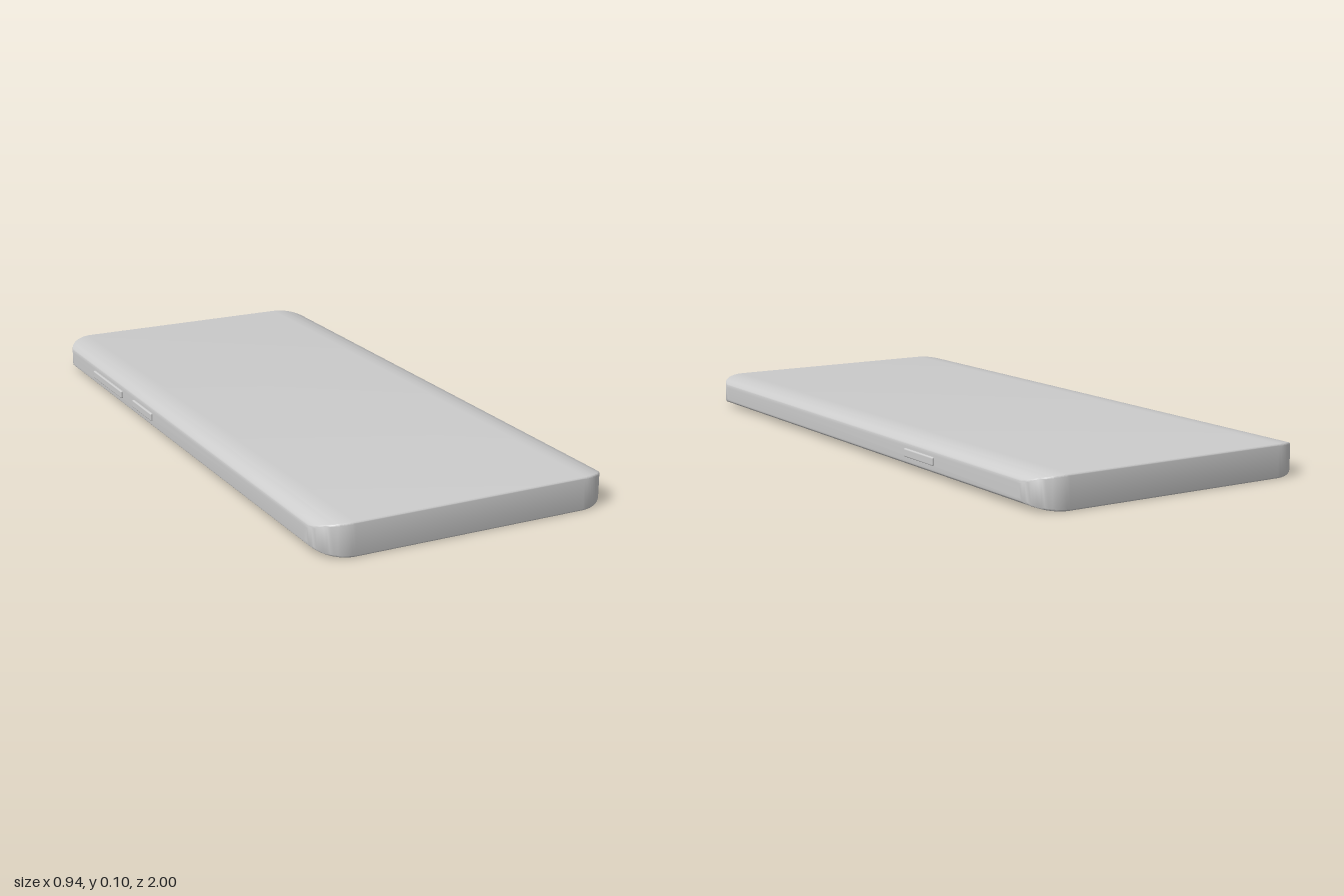
import * as THREE from 'three';
import { toCreasedNormals } from 'three/addons/utils/BufferGeometryUtils.js';
import { RoundedBoxGeometry } from 'three/addons/geometries/RoundedBoxGeometry.js';

const material = new THREE.MeshStandardMaterial({ color: 0xcccccc });
const MID_Y = 0.05;     // middle of the thickness
const HALF_W = 0.464;   // half width
const CORNER = 0.1;     // corner radius seen from above
const EDGE = 0.005;     // small rounding where the end walls meet the faces

// Slab lofted along x: each ring is a z-y rectangle with rounded corners
function slabGeometry() {
  const STEPS = 16, ARC = 3, half = [];
  for (let i = 0; i <= STEPS; i++) {
    const a = (i / STEPS) * Math.PI / 2;
    half.push({
      x: HALF_W - CORNER + CORNER * Math.sin(a),
      length: 1 - CORNER + CORNER * Math.cos(a),
      height: 0.022 + 0.028 * Math.cos(a),
    });
  }
  const rings = [...half].reverse().map(s => ({ ...s, x: -s.x })).concat(half);
  const n = 4 * (ARC + 1);
  const positions = [], index = [];

  for (const { x, length, height } of rings) {
    for (let q = 0; q < 4; q++) {
      const sz = q === 0 || q === 3 ? 1 : -1;
      const sy = q < 2 ? 1 : -1;
      for (let k = 0; k <= ARC; k++) {
        const a = (q + k / ARC) * Math.PI / 2;
        positions.push(
          x,
          MID_Y + sy * (height - EDGE) + EDGE * Math.sin(a),
          sz * (length - EDGE) + EDGE * Math.cos(a));
      }
    }
  }
  // skin between neighbouring rings
  for (let i = 0; i < rings.length - 1; i++) {
    for (let j = 0; j < n; j++) {
      const a = i * n + j, b = i * n + (j + 1) % n;
      index.push(a, a + n, b, b, a + n, b + n);
    }
  }
  // flat side strips closing both ends
  const last = (rings.length - 1) * n;
  for (let j = 1; j < n - 1; j++) {
    index.push(0, j, j + 1, last, last + j + 1, last + j);
  }

  const geometry = new THREE.BufferGeometry();
  geometry.setAttribute('position', new THREE.Float32BufferAttribute(positions, 3));
  geometry.setIndex(index);
  // ring order runs z to y, so turn the faces outward
  for (let i = 0; i < index.length; i += 3) {
    [index[i + 1], index[i + 2]] = [index[i + 2], index[i + 1]];
  }
  geometry.setIndex(orientOutward(positions, index));
  return toCreasedNormals(geometry, 0.6);
}

// Flip any triangle of the convex slab that faces its centre
function orientOutward(p, index) {
  const centre = new THREE.Vector3(0, MID_Y, 0);
  const corner = i => new THREE.Vector3().fromArray(p, i * 3);
  const out = [];
  for (let i = 0; i < index.length; i += 3) {
    const [a, b, c] = index.slice(i, i + 3);
    const t = new THREE.Triangle(corner(a), corner(b), corner(c));
    const normal = t.getNormal(new THREE.Vector3());
    const outward = t.getMidpoint(new THREE.Vector3()).sub(centre);
    out.push(...(normal.dot(outward) >= 0 ? [a, b, c] : [a, c, b]));
  }
  return out;
}

export function createModel() {
  const group = new THREE.Group();
  const add = (name, geometry) => {
    const mesh = new THREE.Mesh(geometry, material);
    mesh.name = name;
    group.add(mesh);
    return mesh;
  };

  add('body', slabGeometry());

  // side keys: side of the body, and where each starts and ends along z
  const keys = [
    ['powerButton', 1, -0.48, -0.32],
    ['volumeButton', -1, -0.69, -0.43],
    ['assistantButton', -1, -0.33, -0.17],
  ];
  for (const [name, side, z0, z1] of keys) {
    const key = add(name, new RoundedBoxGeometry(0.03, 0.025, z1 - z0, 3, 0.004));
    key.position.set(side * (HALF_W + 0.007 - 0.015), 0.052, (z0 + z1) / 2);
  }
  return group;
}
